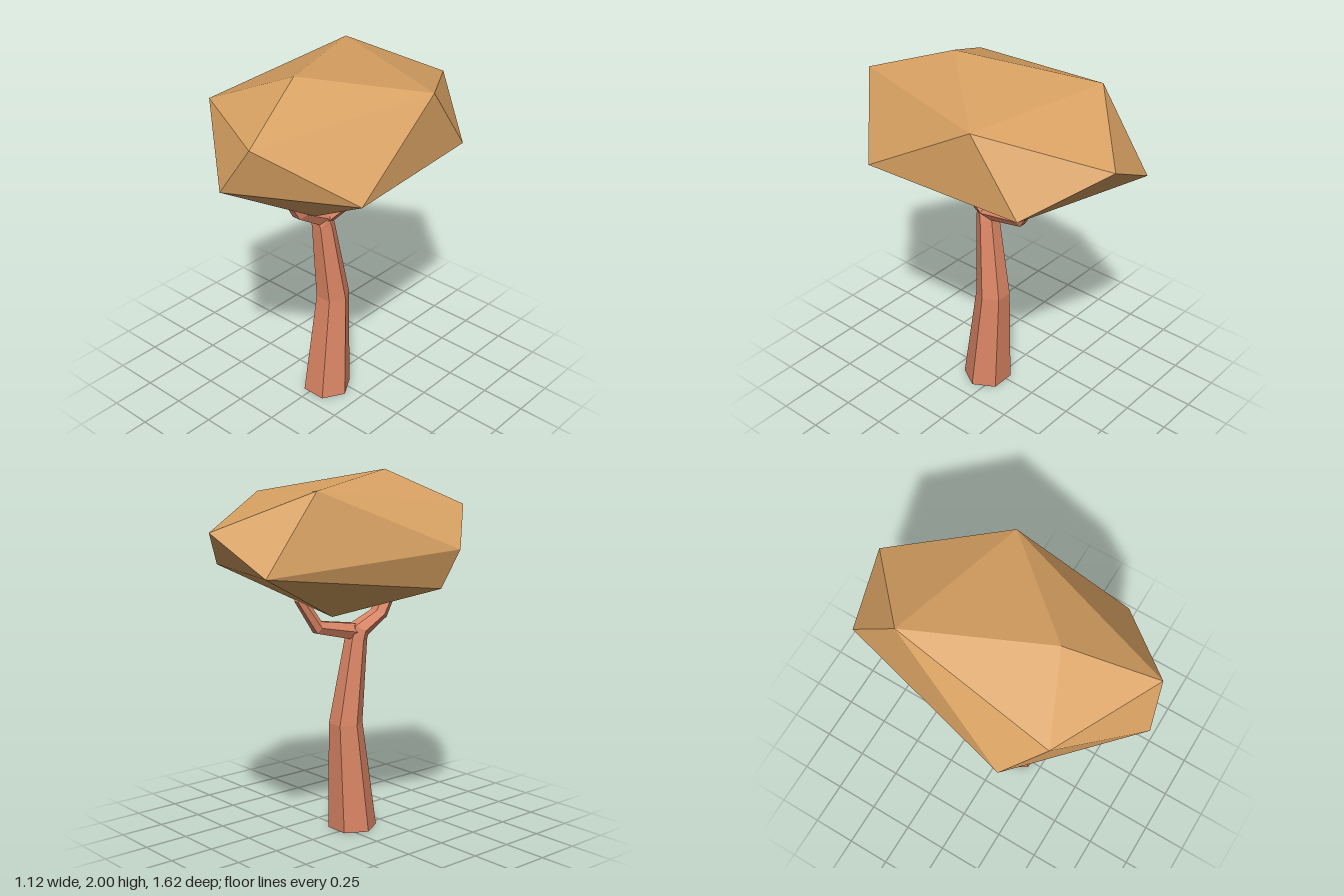
import * as THREE from 'three';
import { ConvexGeometry } from 'three/addons/geometries/ConvexGeometry.js';

const SIDES = 6;

// Hexagonal limb swept through rings [x, y, z, radius, tilt toward +z in degrees], capped at both ends
function limb(rings) {
  const pos = [], index = [];
  for (const [x, y, z, r, deg] of rings) {
    const t = THREE.MathUtils.degToRad(deg);
    for (let j = 0; j < SIDES; j++) {
      const a = (j / SIDES) * Math.PI * 2;
      const v = r * Math.sin(a);
      pos.push(x + r * Math.cos(a), y - v * Math.sin(t), z + v * Math.cos(t));
    }
  }
  const last = (rings.length - 1) * SIDES;
  for (let i = 0; i < last; i += SIDES) {
    for (let j = 0; j < SIDES; j++) {
      const k = (j + 1) % SIDES;
      const a = i + j, b = i + k, c = a + SIDES, d = b + SIDES;
      index.push(a, c, b, b, c, d);
    }
  }
  for (let j = 1; j < SIDES - 1; j++) {
    index.push(0, j, j + 1, last, last + j + 1, last + j);
  }
  const geo = new THREE.BufferGeometry();
  geo.setAttribute('position', new THREE.Float32BufferAttribute(pos, 3));
  geo.setIndex(index);
  const flat = geo.toNonIndexed();
  flat.computeVertexNormals();
  return flat;
}

export function createModel() {
  const bark = new THREE.MeshStandardMaterial({ color: 0xdc8665, flatShading: true });
  bark.name = 'bark';
  const leaves = new THREE.MeshStandardMaterial({ color: 0xd8a162, flatShading: true });
  leaves.name = 'leaves';

  const tree = new THREE.Group();
  tree.name = 'tree';
  const add = (name, geometry, material) => {
    const mesh = new THREE.Mesh(geometry, material);
    mesh.name = name;
    tree.add(mesh);
  };

  // Bent trunk running on into the front branch
  add('trunkAndFrontBranch', limb([
    [0.028, 0, 0.065, 0.138, 0],
    [0.03, 0.615, 0.018, 0.095, 0],
    [0.008, 1.08, 0.072, 0.064, 0],
    [0.002, 1.135, 0.085, 0.062, 35],
    [-0.005, 1.212, 0.23, 0.05, 28],
    [-0.01, 1.33, 0.3, 0.043, 22],
  ]), bark);

  // Branch forking off to the back
  add('backBranch', limb([
    [0.01, 1.122, 0.09, 0.054, -75],
    [0.035, 1.175, -0.178, 0.04, -65],
    [0.055, 1.34, -0.285, 0.03, -35],
  ]), bark);

  // Faceted crown: hull of a few corner points, top to bottom
  const corners = [
    [0.015, 2.0, 0.288], [-0.285, 1.927, -0.44], [0.483, 1.88, -0.23],
    [0.175, 1.825, 0.76], [-0.4, 1.825, 0.473], [0.11, 1.717, -0.81],
    [-0.56, 1.61, 0.29], [0.015, 1.57, 0.81], [0.556, 1.517, 0.4],
    [-0.27, 1.517, -0.748], [0.475, 1.5, -0.515], [-0.475, 1.4, 0.24],
    [0.155, 1.277, 0.3], [-0.055, 1.24, -0.15],
  ];
  add('crown', new ConvexGeometry(corners.map((p) => new THREE.Vector3(...p))), leaves);

  return tree;
}
